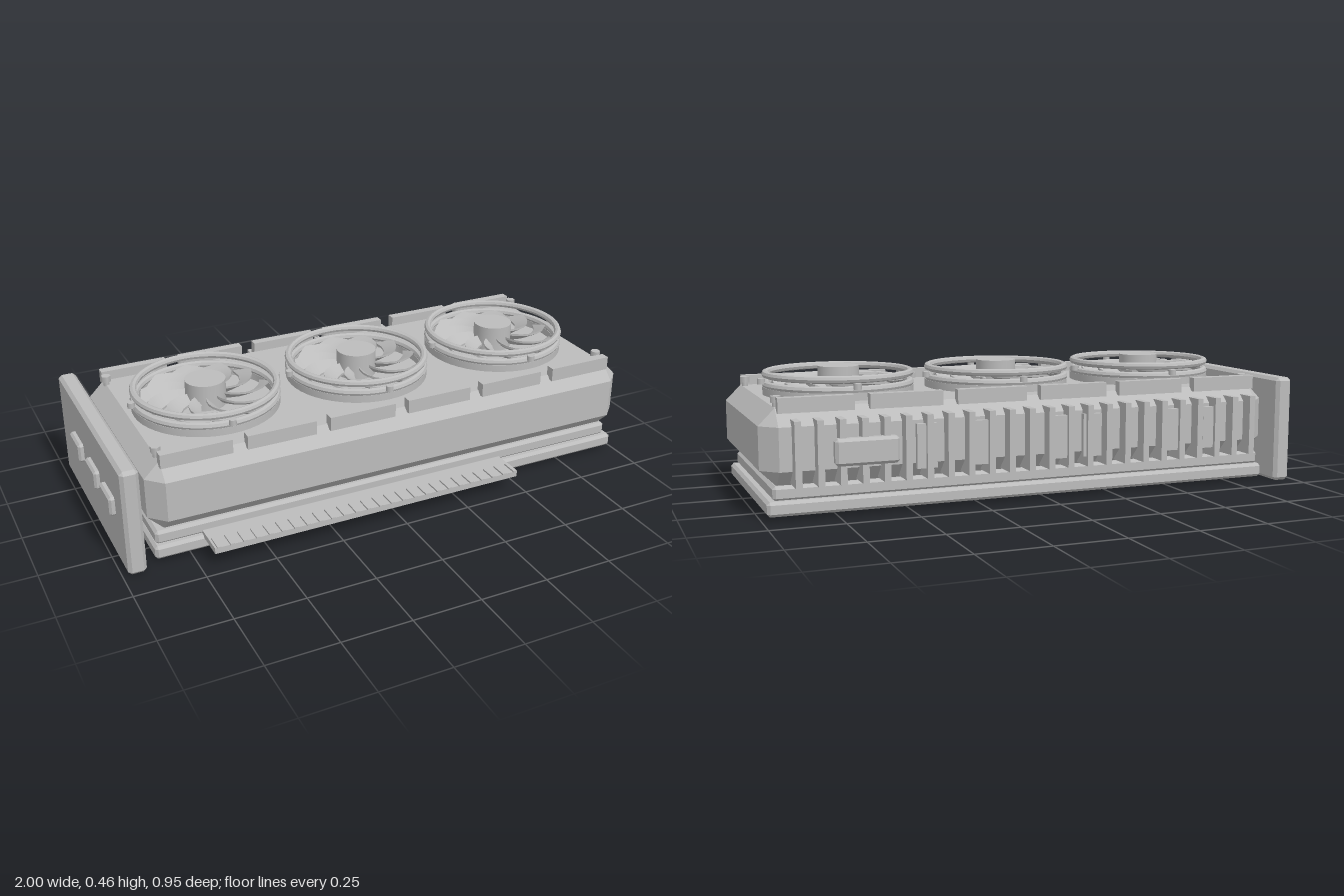
import * as THREE from 'three';
import { toCreasedNormals } from 'three/addons/utils/BufferGeometryUtils.js';
import { ConvexGeometry } from 'three/addons/geometries/ConvexGeometry.js';

export function createModel() {
  const root = new THREE.Group();
  root.name = 'graphicsCard';
  const grey = new THREE.MeshStandardMaterial({ color: 0xbcbcbc });
  grey.name = 'plain grey';

  const add = (name, geo, parent = root) => {
    const mesh = new THREE.Mesh(geo, grey);
    mesh.name = name;
    parent.add(mesh);
    return mesh;
  };
  const group = (name, parent = root) => {
    const g = new THREE.Group();
    g.name = name;
    parent.add(g);
    return g;
  };
  // Plain box given by its extents
  const box = (x0, x1, y0, y1, z0, z1) =>
    new THREE.BoxGeometry(x1 - x0, y1 - y0, z1 - z0)
      .translate((x0 + x1) / 2, (y0 + y1) / 2, (z0 + z1) / 2);
  // Box with every edge cut off by b
  const chamferBox = (x0, x1, y0, y1, z0, z1, b) => {
    const h = [(x1 - x0) / 2, (y1 - y0) / 2, (z1 - z0) / 2];
    const pts = [];
    for (const sx of [-1, 1]) for (const sy of [-1, 1]) for (const sz of [-1, 1])
      for (let full = 0; full < 3; full++) {
        const d = h.map((v, i) => (i === full ? v : v - b));
        pts.push(new THREE.Vector3(sx * d[0], sy * d[1], sz * d[2]));
      }
    return new ConvexGeometry(pts).translate((x0 + x1) / 2, (y0 + y1) / 2, (z0 + z1) / 2);
  };
  const cylinder = (r, y0, y1, sides) =>
    new THREE.CylinderGeometry(r, r, y1 - y0, sides).translate(0, (y0 + y1) / 2, 0);

  // Stacked body
  add('backplate', chamferBox(-0.877, 0.984, 0.015, 0.065, -0.4, 0.36, 0.01));
  add('circuitBoard', chamferBox(-0.868, 0.962, 0.062, 0.112, -0.382, 0.342, 0.01));
  add('shroud', chamferBox(-0.885, 1, 0.108, 0.365, -0.415, 0.374, 0.056));

  // End bracket with its ports
  add('bracket', chamferBox(-0.98, -0.916, 0, 0.39, -0.432, 0.39, 0.012));
  const ports = group('ports');
  for (const z of [-0.172, 0.04, 0.228])
    add('port', chamferBox(-1, -0.97, 0.18, 0.25, z - 0.062, z + 0.062, 0.008), ports);

  // Segmented rails along both long edges of the shroud
  const rails = group('edgeRails');
  for (let i = 0; i < 6; i++) {
    const x = -0.708 + i * 0.3045;
    add('frontRail', box(x - 0.126, x + 0.126, 0.35, 0.4, 0.313, 0.347), rails);
    add('rearRail', box(x - 0.126, x + 0.126, 0.35, 0.4, -0.39, -0.357), rails);
  }

  // Corner screws
  const screws = group('cornerScrews');
  for (const x of [-0.827, 0.934]) for (const z of [-0.322, 0.277]) {
    add('screwShaft', cylinder(0.011, 0.36, 0.38, 6), screws).position.set(x, 0, z);
    add('screwHead', cylinder(0.018, 0.378, 0.4, 6), screws).position.set(x, 0, z);
  }

  // Swept, pitched blade bent from a thin slab
  const bladeGeometry = () => {
    const g = new THREE.BoxGeometry(1, 0.008, 1, 6, 1, 2);
    const p = g.attributes.position;
    for (let i = 0; i < p.count; i++) {
      const u = p.getX(i) + 0.5, w = p.getZ(i);
      const r = 0.065 + 0.165 * u;
      const angle = 0.6 * u * u - w * 0.36;
      p.setXYZ(i, r * Math.cos(angle), 0.399 + p.getY(i) + w * 0.028, -r * Math.sin(angle));
    }
    return toCreasedNormals(g, 0.6);
  };
  const blade = bladeGeometry();
  const ring = (y, tube) => toCreasedNormals(
    new THREE.TorusGeometry(0.268 - tube, tube, 8, 48).rotateX(Math.PI / 2).translate(0, y, 0), 0.5);
  // Hollow collar under the lower ring
  const collar = toCreasedNormals(new THREE.LatheGeometry(
    [[0.242, 0.36], [0.266, 0.36], [0.266, 0.392], [0.242, 0.392], [0.242, 0.36]]
      .map(([r, y]) => new THREE.Vector2(r, y)), 48), 0.5);

  // Three fans
  for (const x of [-0.545, 0.053, 0.653]) {
    const fan = group('fan');
    fan.position.set(x, 0, -0.022);
    add('collar', collar, fan);
    add('lowerRing', ring(0.4, 0.014), fan);
    add('upperRing', ring(0.436, 0.013), fan);
    add('hub', toCreasedNormals(cylinder(0.073, 0.365, 0.46, 32), 0.5), fan);
    for (let i = 0; i < 11; i++)
      add('blade', blade, fan).rotation.y = (i / 11) * Math.PI * 2;
    for (let i = 0; i < 4; i++) {
      const a = (i * Math.PI) / 2;
      add('lug', cylinder(0.014, 0.404, 0.424, 8), fan)
        .position.set(0.273 * Math.cos(a), 0, 0.273 * Math.sin(a));
    }
  }

  // Cooling fins on the rear, with pipe pieces bridging some gaps
  const fins = group('coolingFins');
  for (let i = 0; i < 24; i++) {
    const x = -0.79 + i * 0.0731;
    add('fin', box(x - 0.011, x + 0.011, 0.117, 0.332, -0.46, -0.37), fins);
  }
  for (const x of [-0.625, -0.455, -0.145, -0.015, 0.28, 0.46])
    add('heatPipe', box(x - 0.035, x + 0.035, 0.15, 0.3, -0.447, -0.43), fins);
  add('powerSocket', chamferBox(0.56, 0.775, 0.18, 0.27, -0.475, -0.435, 0.01));

  // Edge connector with its contacts
  const connector = group('edgeConnector');
  add('connectorStrip', box(-0.705, 0.477, 0.056, 0.078, 0.33, 0.466), connector);
  for (let i = 0; i < 26; i++) {
    const x = -0.692 + i * 0.0462;
    add('contact', box(x - 0.007, x + 0.007, 0.081, 0.087, 0.412, 0.476), connector);
  }

  return root;
}
